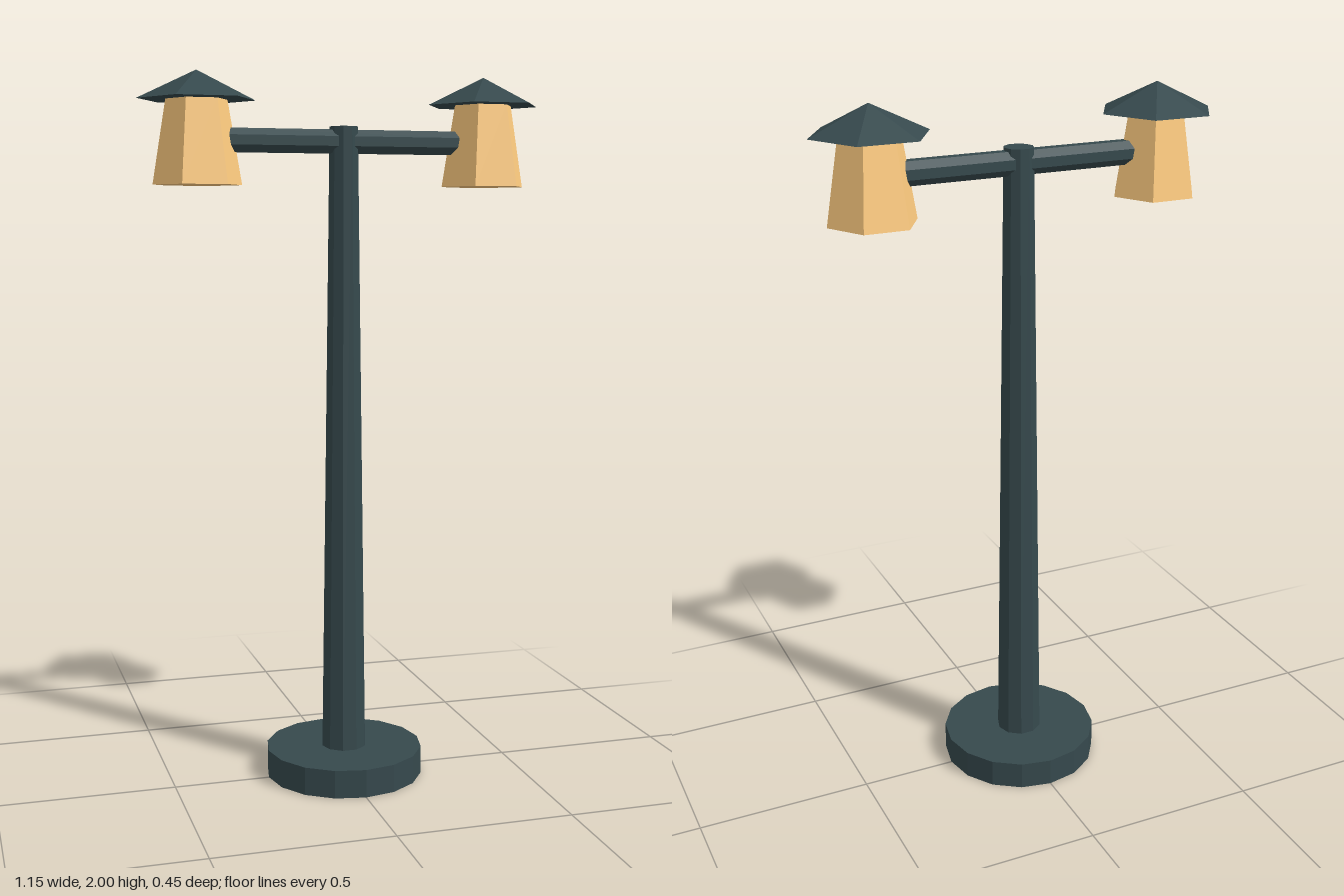
import * as THREE from 'three';

const metal = new THREE.MeshStandardMaterial({ color: 0x36494d, flatShading: true });
const glow = new THREE.MeshStandardMaterial({ color: 0xffcc80, flatShading: true });

// Upright faceted frustum from y0 to y1, with a corner on the x axis by default
function frustum(name, rTop, rBottom, y0, y1, sides, material, start = Math.PI / 2) {
  const geo = new THREE.CylinderGeometry(rTop, rBottom, y1 - y0, sides, 1, false, start);
  const mesh = new THREE.Mesh(geo, material);
  mesh.name = name;
  mesh.position.y = (y0 + y1) / 2;
  return mesh;
}

// Hexagonal lamp with a tapered body and a pointed roof
function createLantern(name, x) {
  const lantern = new THREE.Group();
  lantern.name = name;
  lantern.position.x = x;

  const roof = new THREE.Mesh(
    new THREE.ConeGeometry(0.163, 0.078, 6, 1, false, Math.PI / 2), metal);
  roof.name = 'lanternRoof';
  roof.position.y = 1.961;

  lantern.add(frustum('lanternBody', 0.084, 0.123, 1.695, 1.926, 6, glow), roof);
  return lantern;
}

export function createModel() {
  const model = new THREE.Group();
  model.name = 'streetLamp';

  // Foot and tapered post
  model.add(frustum('base', 0.226, 0.226, 0, 0.08, 16, metal));
  model.add(frustum('post', 0.041, 0.065, 0.08, 1.857, 10, metal));

  // Crossbar running into both lanterns
  const crossbar = frustum('crossbar', 0.035, 0.035, -0.41, 0.41, 8, metal, Math.PI / 8);
  crossbar.rotation.z = Math.PI / 2;
  crossbar.position.y = 1.816;
  model.add(crossbar);

  model.add(createLantern('leftLantern', 0.412), createLantern('rightLantern', -0.412));
  return model;
}
